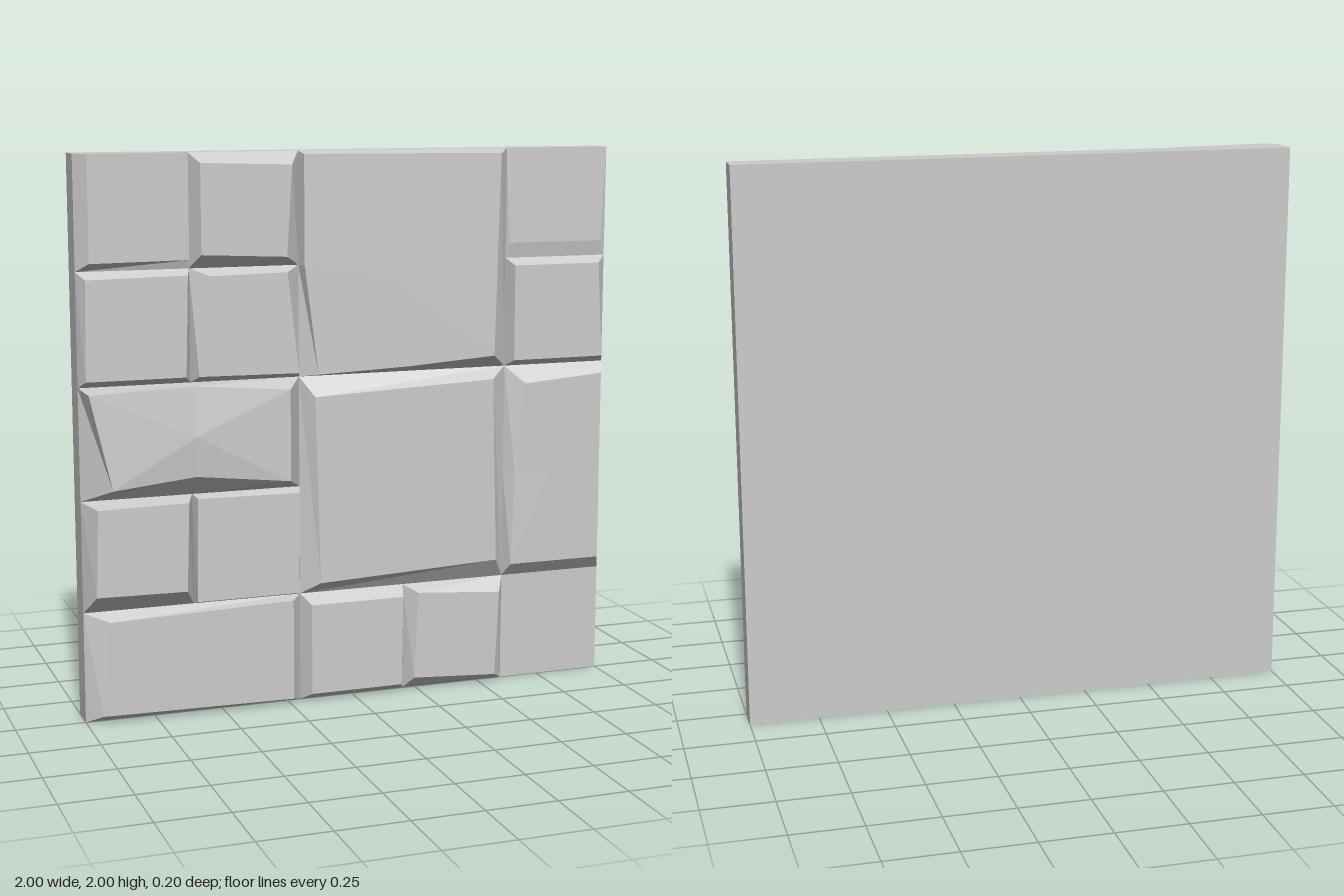
import * as THREE from 'three';

const material = new THREE.MeshStandardMaterial({ color: 0xcccccc, flatShading: true });

// A chiselled stone: a rectangular footprint on the slab joined to a skewed front face.
// Corners run bottom left, bottom right, top right, top left as [x, y, z].
// mids optionally bends a side at its midpoint (0 bottom, 1 right, 2 top, 3 left).
function stone(name, [x0, x1, y0, y1], corners, mids = {}) {
  const foot = [[x0, y0, 0], [x1, y0, 0], [x1, y1, 0], [x0, y1, 0]];
  const outer = [], inner = [];
  for (let i = 0; i < 4; i++) {
    outer.push(foot[i]);
    inner.push(corners[i]);
    if (mids[i]) {
      const next = foot[(i + 1) % 4];
      outer.push(foot[i].map((v, k) => (v + next[k]) / 2));
      inner.push(mids[i]);
    }
  }
  const n = outer.length;
  const centre = [0, 1, 2].map(k => inner.reduce((s, p) => s + p[k], 0) / n);
  const positions = [];
  for (let i = 0; i < n; i++) {
    const j = (i + 1) % n;
    // bevelled side, then a wedge of the front face
    positions.push(...outer[i], ...outer[j], ...inner[j]);
    positions.push(...outer[i], ...inner[j], ...inner[i]);
    positions.push(...centre, ...inner[i], ...inner[j]);
  }
  const geometry = new THREE.BufferGeometry();
  geometry.setAttribute('position', new THREE.Float32BufferAttribute(positions, 3));
  geometry.computeVertexNormals();
  const mesh = new THREE.Mesh(geometry, material);
  mesh.name = name;
  return mesh;
}

export function createModel() {
  const group = new THREE.Group();
  group.name = 'stoneWallPanel';

  // backing slab; its bare front is the flat tile at the lower right
  const slab = new THREE.Mesh(new THREE.BoxGeometry(2, 2, 0.1), material);
  slab.name = 'backingSlab';
  slab.position.set(0, 1, -0.05);
  group.add(slab);

  group.add(
    // top row
    stone('topLeftStone', [-1, -0.6, 1.6, 2],
      [[-0.96, 1.63, 0.045], [-0.6, 1.63, 0.01], [-0.6, 2, 0.01], [-0.96, 2, 0.045]]),
    stone('topInnerStone', [-0.6, -0.2, 1.6, 2],
      [[-0.57, 1.65, 0.06], [-0.26, 1.635, 0.06], [-0.24, 1.955, 0.06], [-0.57, 1.965, 0.06]]),
    stone('upperLargeStone', [-0.2, 0.6, 1.2, 2],
      [[-0.14, 1.21, 0.045], [0.53, 1.25, 0.07], [0.55, 1.985, 0.065], [-0.19, 1.99, 0.04]],
      { 0: [0.2, 1.225, 0.057], 3: [-0.19, 1.6, 0.042] }),
    stone('topRightStone', [0.6, 1, 1.6, 2],
      [[0.61, 1.655, 0.01], [0.98, 1.655, 0.01], [1, 2, 0.002], [0.61, 2, 0.002]]),

    // second row
    stone('upperLeftStone', [-1, -0.6, 1.2, 1.6],
      [[-0.98, 1.225, 0.045], [-0.625, 1.225, 0.045], [-0.615, 1.58, 0.045], [-0.975, 1.575, 0.045]]),
    stone('upperInnerStone', [-0.6, -0.2, 1.2, 1.6],
      [[-0.58, 1.225, 0.05], [-0.215, 1.22, 0.05], [-0.255, 1.58, 0.05], [-0.535, 1.575, 0.05]]),
    stone('upperRightStone', [0.6, 1, 1.2, 1.6],
      [[0.62, 1.225, 0.045], [0.98, 1.225, 0.04], [0.96, 1.575, 0.04], [0.62, 1.575, 0.045]]),

    // middle
    stone('middleLeftStone', [-1, -0.2, 0.8, 1.2],
      [[-0.905, 0.85, 0.1], [-0.26, 0.84, 0.09], [-0.26, 1.17, 0.09], [-0.98, 1.185, 0.085]],
      { 0: [-0.6, 0.875, 0.07], 2: [-0.6, 1.195, 0.065] }),
    stone('lowerLargeStone', [-0.2, 0.6, 0.4, 1.2],
      [[-0.135, 0.445, 0.05], [0.555, 0.475, 0.05], [0.535, 1.16, 0.05], [-0.155, 1.13, 0.05]]),
    stone('tallRightStone', [0.6, 1, 0.4, 1.2],
      [[0.62, 0.45, 0.04], [0.98, 0.45, 0.04], [0.98, 1.16, 0.04], [0.67, 1.135, 0.04]],
      { 3: [0.635, 0.8, 0.035] }),
    stone('lowerLeftStone', [-1, -0.6, 0.4, 0.8],
      [[-0.965, 0.47, 0.075], [-0.64, 0.465, 0.075], [-0.63, 0.785, 0.075], [-0.955, 0.78, 0.075]]),
    stone('lowerInnerStone', [-0.6, -0.2, 0.4, 0.8],
      [[-0.595, 0.415, 0.045], [-0.215, 0.415, 0.045], [-0.215, 0.785, 0.045], [-0.59, 0.79, 0.045]]),

    // bottom row
    stone('bottomLeftStone', [-1, -0.2, 0, 0.4],
      [[-0.945, 0.03, 0.05], [-0.24, 0.02, 0.05], [-0.24, 0.39, 0.05], [-0.915, 0.37, 0.05]]),
    stone('bottomCentreStone', [-0.2, 0.2, 0, 0.4],
      [[-0.17, 0.03, 0.05], [0.18, 0.03, 0.05], [0.185, 0.365, 0.05], [-0.17, 0.365, 0.05]]),
    stone('bottomInnerStone', [0.2, 0.6, 0, 0.4],
      [[0.23, 0.05, 0.05], [0.555, 0.03, 0.05], [0.57, 0.35, 0.05], [0.245, 0.375, 0.05]]),
  );
  return group;
}
